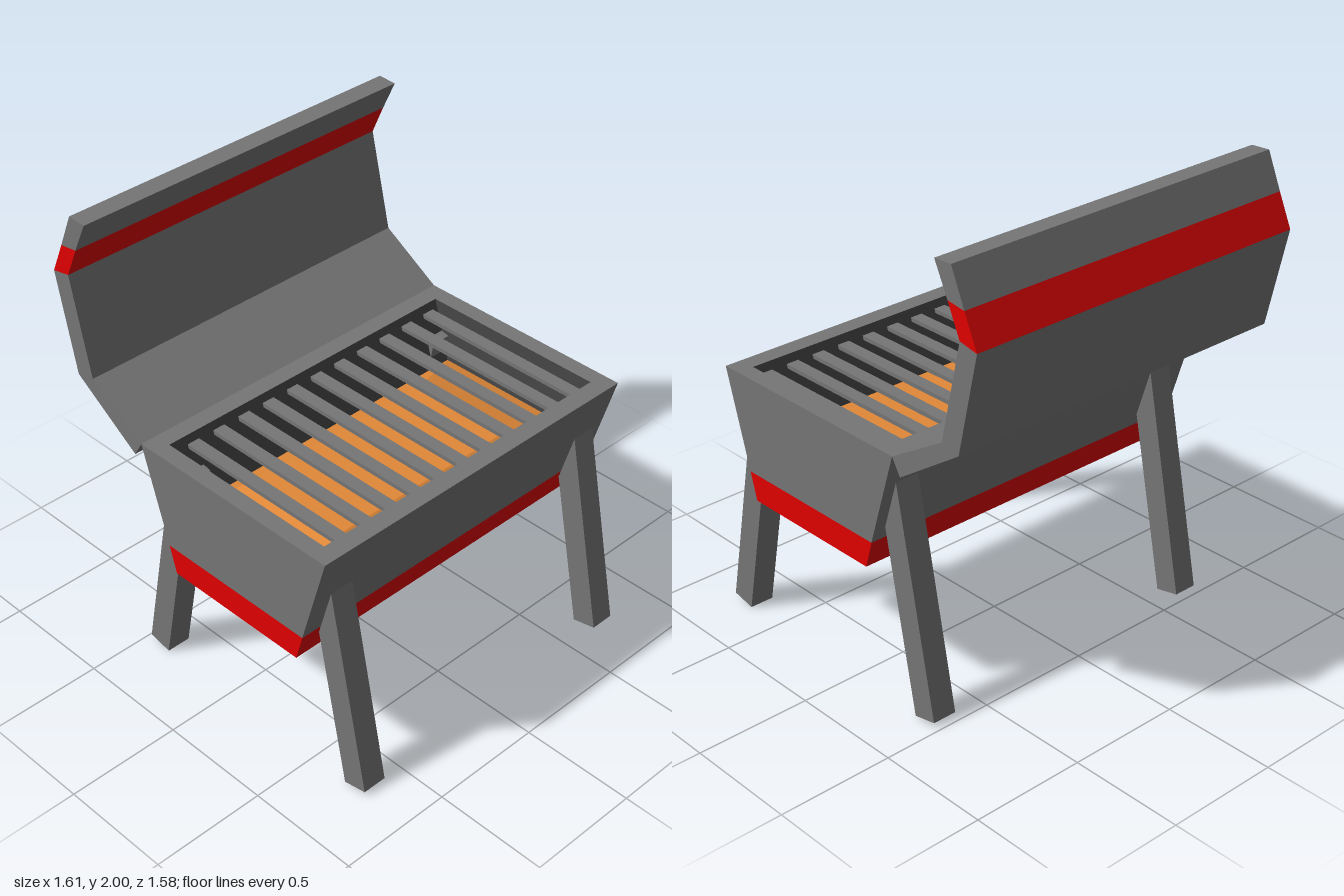
import * as THREE from 'three';

const mat = (name, color) => {
  const m = new THREE.MeshStandardMaterial({ color });
  m.name = name;
  return m;
};

// Stacks rectangular rings [halfWidth, zBack, zFront, y] into flat-sided walls.
function loft(rings, { bottom = false, top = false } = {}) {
  const loops = rings.map(([h, z0, z1, y]) => [[-h, y, z1], [h, y, z1], [h, y, z0], [-h, y, z0]]);
  const pos = [];
  const quad = (a, b, c, d) => [a, b, c, a, c, d].forEach((p) => pos.push(...p));
  for (let r = 0; r < loops.length - 1; r++) {
    const a = loops[r], b = loops[r + 1];
    for (let i = 0; i < 4; i++) {
      const j = (i + 1) % 4;
      quad(a[i], a[j], b[j], b[i]);
    }
  }
  if (bottom) quad(...[...loops[0]].reverse());
  if (top) quad(...loops[loops.length - 1]);
  const g = new THREE.BufferGeometry();
  g.setAttribute('position', new THREE.Float32BufferAttribute(pos, 3));
  g.computeVertexNormals();
  return g;
}

// Extrudes a side profile of [z, y] points across the full width.
function prism(points, width) {
  const shape = new THREE.Shape(points.map(([z, y]) => new THREE.Vector2(z, y)));
  const g = new THREE.ExtrudeGeometry(shape, { depth: width, bevelEnabled: false });
  return g.translate(0, 0, -width / 2).rotateY(-Math.PI / 2);
}

export function createModel() {
  const model = new THREE.Group();
  model.name = 'barbecueGrill';
  const grey = mat('greyMetal', 0x767676);
  const soot = mat('sootyMetal', 0x474747);
  const red = mat('redTrim', 0xe20000);
  const orange = mat('glowingCoals', 0xe08838);
  const half = 0.803;
  const add = (name, geometry, material, parent = model) => {
    const mesh = new THREE.Mesh(geometry, material);
    mesh.name = name;
    parent.add(mesh);
    return mesh;
  };

  // Firebox: outer walls and rim, sooty inner walls, red base band, grey underside
  const rimInner = [0.73, -0.25, 0.6, 1.14];
  const coalEdge = [0.73, -0.17, 0.52, 0.87];
  const bandTop = [half, -0.195, 0.555, 0.72];
  const base = [half, -0.16, 0.52, 0.6];
  add('firebox', loft([bandTop, [half, -0.328, 0.68, 1.14], rimInner]), grey);
  add('fireboxLining', loft([rimInner, coalEdge]), soot);
  add('fireboxBand', loft([base, bandTop]), red);
  add('fireboxUnderside', loft([base], { bottom: true }), grey);

  // Low mound of coals filling the firebox
  add('coals', loft([coalEdge, [0.485, -0.06, 0.41, 0.94]], { top: true }), orange);

  // Thin grate bars
  const grate = new THREE.Group();
  grate.name = 'grate';
  model.add(grate);
  const barGeometry = new THREE.BoxGeometry(0.057, 0.018, 0.83);
  for (let i = 0; i < 11; i++) {
    add('grateBar', barGeometry, grey, grate).position.set(-0.62 + i * 0.1295, 1.096, 0.175);
  }

  // Open lid: a bent sheet with a red stripe
  const lid = new THREE.Group();
  lid.name = 'lid';
  model.add(lid);
  add('lidShell', prism([
    [-0.328, 1.14], [-0.602, 1.305], [-0.7, 1.73],
    [-0.787, 1.713], [-0.69, 1.285], [-0.37, 1.07],
  ], half * 2), grey, lid);
  add('lidStripe', prism([
    [-0.7, 1.73], [-0.64, 1.862], [-0.725, 1.85], [-0.787, 1.713],
  ], half * 2), red, lid);
  add('lidLip', prism([
    [-0.64, 1.862], [-0.575, 1.996], [-0.66, 2.0], [-0.725, 1.85],
  ], half * 2), grey, lid);

  // Splayed legs, running through the firebox walls
  const legGeometry = new THREE.BoxGeometry(0.108, 1.012, 0.11);
  for (const x of [-0.655, 0.695]) {
    for (const [name, z, tilt] of [['frontLeg', 0.637, -0.197], ['backLeg', -0.322, 0.197]]) {
      const leg = add(name, legGeometry, grey);
      leg.position.set(x, 0.507, z);
      leg.rotation.x = tilt;
    }
  }
  return model;
}
